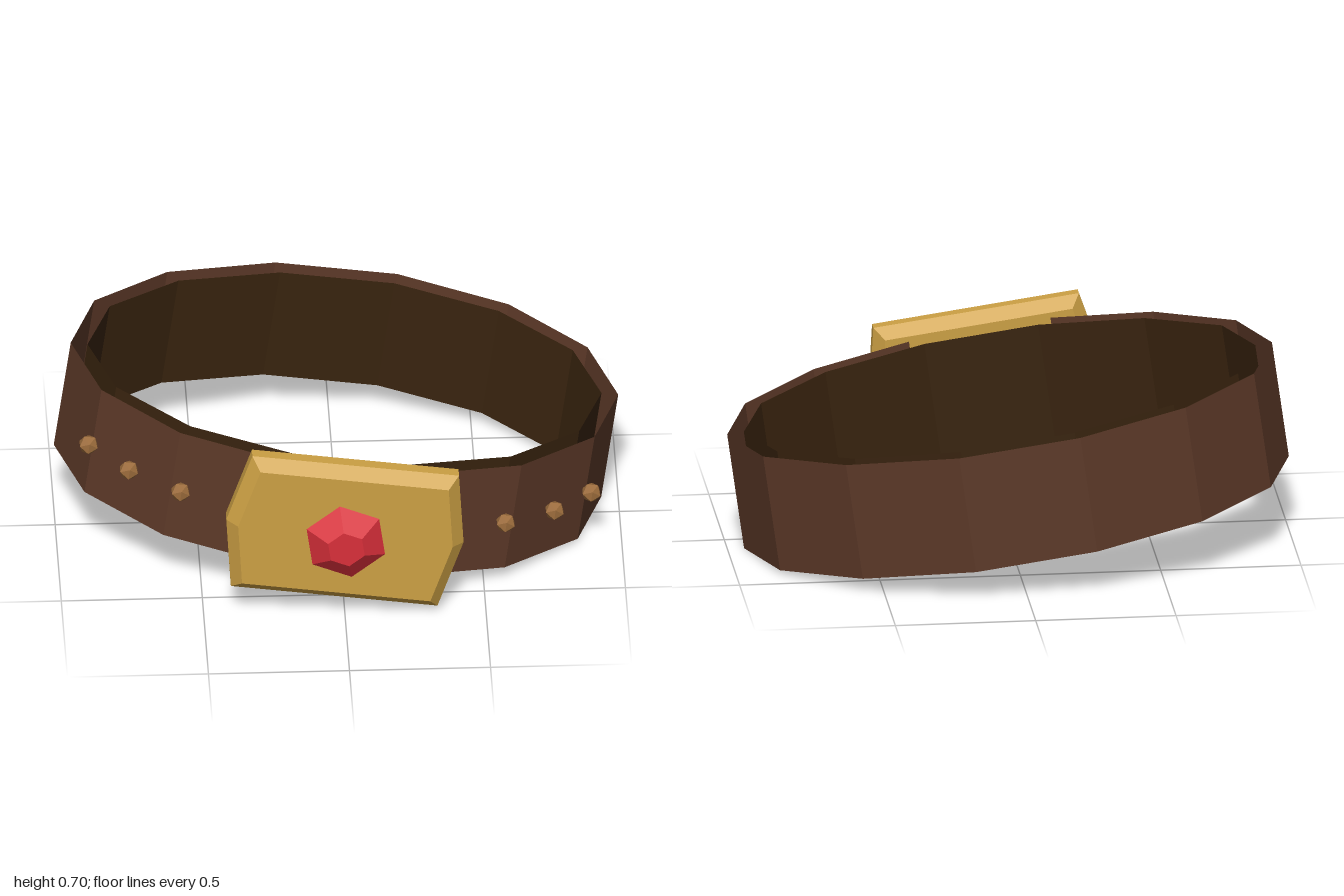
import * as THREE from 'three';

const flat = (name, color, side = THREE.FrontSide) =>
  new THREE.MeshStandardMaterial({ name, color, side, flatShading: true });

export function createModel() {
  const leather = flat('brown leather', 0x5c3928, THREE.DoubleSide);
  const lining = flat('dark lining', 0x38230e, THREE.DoubleSide);
  const gold = flat('gold', 0xcca044);
  const bronze = flat('bronze', 0x9c6c3c);
  const ruby = flat('ruby', 0xd92f3a);

  const model = new THREE.Group();
  model.name = 'belt';

  // Everything hangs on one tilted group
  const tilted = new THREE.Group();
  tilted.name = 'tiltedBelt';
  tilted.position.y = 0.35;
  tilted.rotation.z = THREE.MathUtils.degToRad(-8);
  model.add(tilted);

  const add = (name, geometry, material, x = 0, y = 0, z = 0) => {
    const mesh = new THREE.Mesh(geometry, material);
    mesh.name = name;
    mesh.position.set(x, y, z);
    tilted.add(mesh);
    return mesh;
  };

  // Strap: two open fourteen-sided oval walls, one inside the other
  const wall = (name, rx, rz, material) => {
    const g = new THREE.CylinderGeometry(1, 1, 0.432, 14, 1, true, Math.PI / 2);
    g.scale(rx, 1, rz);
    add(name, g, material, 0, 0, -0.1);
  };
  wall('outerStrap', 0.98, 0.675, leather);
  wall('innerLining', 0.92, 0.61, lining);

  // Buckle: six-sided plate with a chamfer on both faces
  const outline = new THREE.Shape([
    [0.337, 0.235], [-0.337, 0.235], [-0.384, 0],
    [-0.337, -0.235], [0.337, -0.235], [0.384, 0],
  ].map(([x, y]) => new THREE.Vector2(x, y)));
  const plate = new THREE.ExtrudeGeometry(outline, {
    depth: 0.043, bevelEnabled: true, bevelSize: 0.04, bevelThickness: 0.04, bevelSegments: 1,
  });
  add('bucklePlate', plate, gold, 0, 0, 0.586);

  // Gem: hexagonal cut with a flat table
  const profile = [[0, 0.645], [0.07, 0.645], [0.15, 0.7], [0.07, 0.754], [0, 0.754]]
    .map(([r, z]) => new THREE.Vector2(r, z));
  const gem = new THREE.LatheGeometry(profile, 6);
  gem.rotateX(Math.PI / 2);
  gem.rotateZ(THREE.MathUtils.degToRad(16));
  add('gem', gem, ruby);

  // Studs mirrored along both front sides of the strap
  const studGeometry = new THREE.IcosahedronGeometry(0.037, 0);
  for (const [x, z] of [[0.9, 0.22], [0.762, 0.363], [0.582, 0.475], [0.36, 0.552]]) {
    for (const side of [-1, 1]) {
      add(side > 0 ? 'leftStud' : 'rightStud', studGeometry, bronze, side * x, 0, z);
    }
  }
  return model;
}
